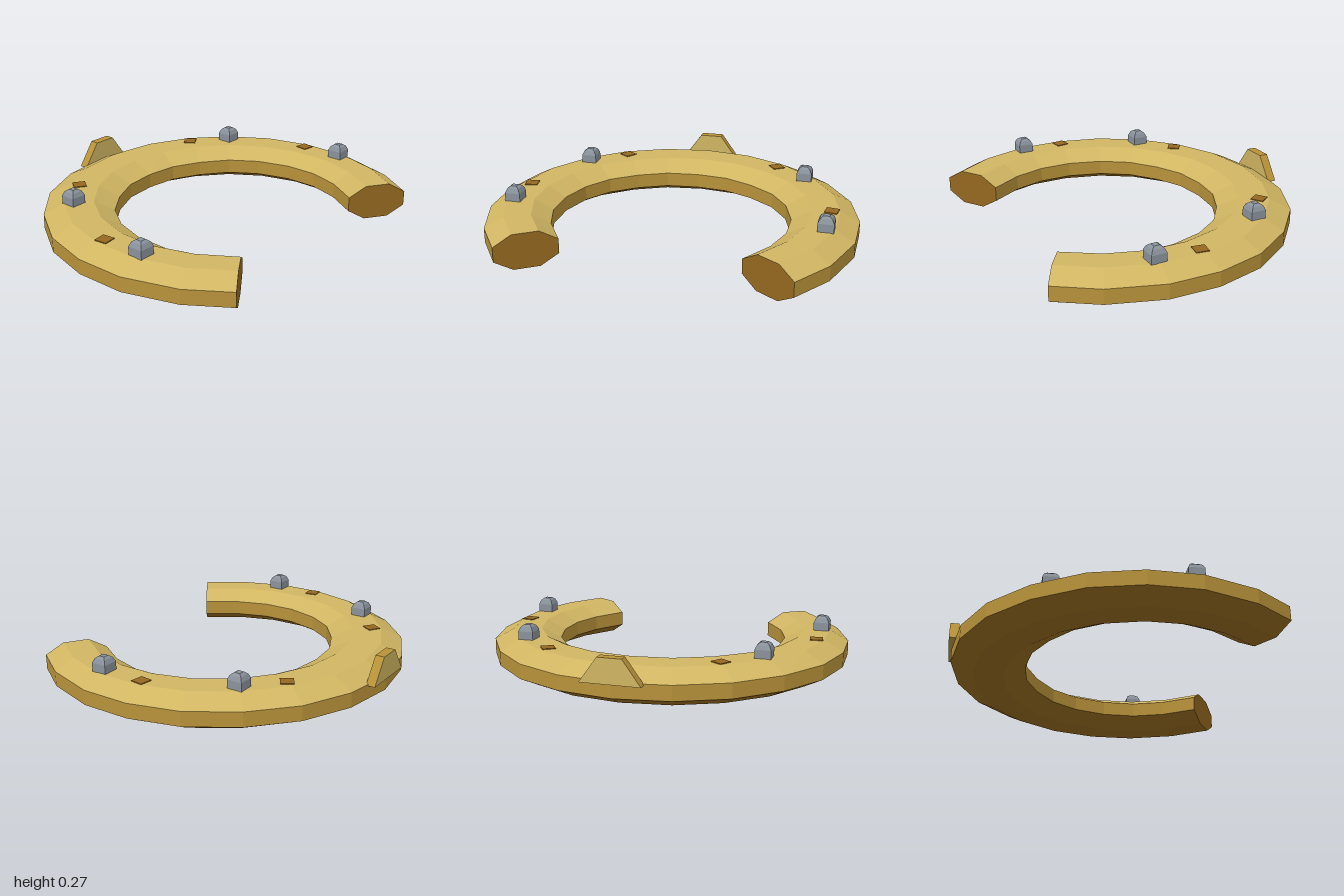
import * as THREE from 'three';

const mat = (name, color, flatShading = true) => {
  const m = new THREE.MeshStandardMaterial({ color, flatShading });
  m.name = name;
  return m;
};

// Outer and inner rim points [outerX, outerZ, innerX, innerZ], from the back of the bow to one tip
const HALF = [
  [-0.83, 0, -0.42, 0], [-0.785, 0.295, -0.4, 0.18], [-0.66, 0.56, -0.325, 0.34],
  [-0.46, 0.775, -0.215, 0.485], [-0.21, 0.93, -0.065, 0.585], [0.065, 1, 0.12, 0.64],
  [0.34, 0.995, 0.305, 0.64], [0.63, 0.9, 0.48, 0.585], [0.842, 0.755, 0.655, 0.475],
];
const mirrored = HALF.slice(1).reverse().map(([a, b, c, d]) => [a, -b, c, -d]);
const ROWS = [...mirrored, ...HALF];

// Corner k of the octagonal section at a row; corner 0 is the lower outer edge
function corner([ox, oz, ix, iz], k) {
  const a = ((k - 0.5) * Math.PI) / 4;
  const t = 0.5 + (0.5 * Math.cos(a)) / Math.cos(Math.PI / 8);
  return [ix + (ox - ix) * t, 0.0975 + 0.1055 * Math.sin(a), iz + (oz - iz) * t];
}

function fromTriangles(points) {
  const g = new THREE.BufferGeometry();
  g.setAttribute('position', new THREE.Float32BufferAttribute(points.flat(), 3));
  g.computeVertexNormals();
  return g;
}

// Sweep the section sides k = from .. to-1 along the bow
function band(from, to) {
  const pts = [];
  for (let i = 0; i < ROWS.length - 1; i++) {
    for (let k = from; k < to; k++) {
      const a = corner(ROWS[i], k), b = corner(ROWS[i + 1], k);
      const c = corner(ROWS[i + 1], k + 1), d = corner(ROWS[i], k + 1);
      pts.push(a, b, c, a, c, d);
    }
  }
  return fromTriangles(pts);
}

function cap(row, flip) {
  const pts = [];
  for (let k = 1; k < 7; k++) {
    const b = corner(row, k), c = corner(row, k + 1);
    pts.push(corner(row, 0), flip ? c : b, flip ? b : c);
  }
  return fromTriangles(pts);
}

export function createModel() {
  const group = new THREE.Group();
  const light = mat('pale gold', 0xd0b562);
  const gold = mat('gold', 0xb8923a);
  const dark = mat('dark bronze', 0x94681f);
  const steel = mat('steel', 0x8a929c);
  const add = (name, geometry, material, x = 0, y = 0, z = 0) => {
    const m = new THREE.Mesh(geometry, material);
    m.name = name;
    m.position.set(x, y, z);
    group.add(m);
    return m;
  };

  // Curved body, in bands around its section
  add('outerRim', band(0, 1), gold);
  add('upperBody', band(1, 4), light);
  add('innerRim', band(4, 5), gold);
  add('lowerBody', band(5, 8), dark);
  add('backTip', cap(ROWS[0], false), dark);
  add('frontTip', cap(ROWS[ROWS.length - 1], true), dark);

  // Four-sided domed studs
  const profile = [[0.06, 0], [0.06, 0.047], [0.045, 0.07], [0.023, 0.082], [0, 0.082]];
  const stud = new THREE.LatheGeometry(profile.map(([r, y]) => new THREE.Vector2(r, y)), 4);
  stud.rotateY(Math.PI / 4);
  // Small square inlays set along the curve
  const inlay = new THREE.BoxGeometry(0.07, 0.009, 0.07);
  for (const s of [-1, 1]) {
    add('stud', stud, steel, 0.335, 0.193, s * 0.845);
    add('stud', stud, steel, -0.355, 0.193, s * 0.65);
    add('inlay', inlay, dark, 0.09, 0.195, s * 0.85).rotation.y = s * 0.14;
    add('inlay', inlay, dark, -0.515, 0.195, s * 0.465).rotation.y = s * 0.98;
  }

  // Upright trapezoid crest on the back of the bow
  const shape = new THREE.Shape([[-0.16, 0.13], [0.16, 0.13], [0.064, 0.263], [-0.064, 0.263]]
    .map(([x, y]) => new THREE.Vector2(x, y)));
  const crest = new THREE.ExtrudeGeometry(shape, { depth: 0.05, bevelEnabled: false });
  crest.rotateY(Math.PI / 2);
  add('crest', crest, [light, gold], -0.845, 0, 0);

  return group;
}
